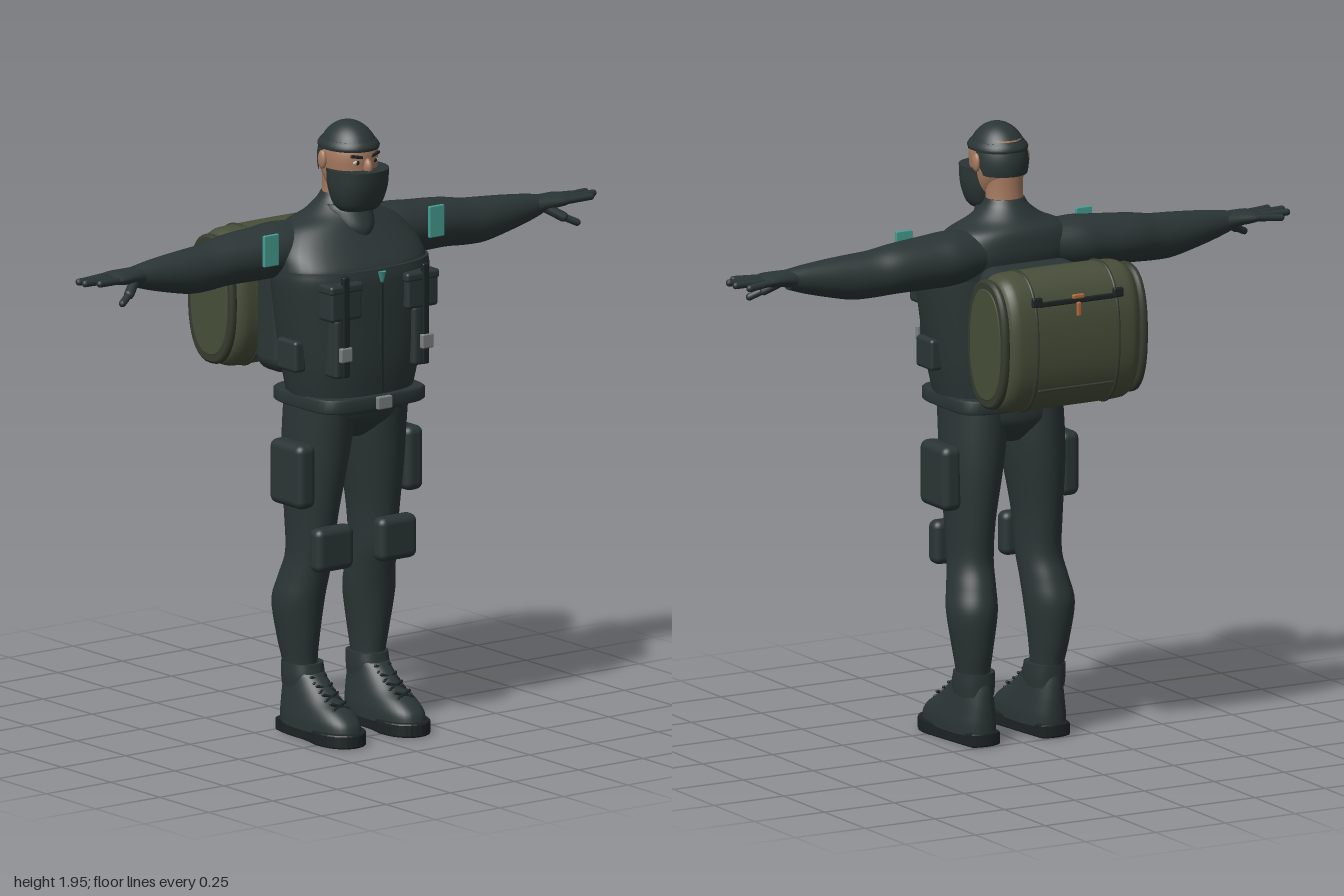
import * as THREE from 'three';
import { RoundedBoxGeometry } from 'three/addons/geometries/RoundedBoxGeometry.js';

const colour = (name, hex) => Object.assign(new THREE.MeshStandardMaterial({ color: hex }), { name });

export function createModel() {
  const suit = colour('suit', 0x2b3535), trim = colour('blackTrim', 0x1c2323);
  const olive = colour('olive', 0x474e39), oliveDark = colour('darkOlive', 0x353c2f);
  const teal = colour('teal', 0x459f93), skin = colour('skin', 0xa67a60);
  const grey = colour('grey', 0x7b8081), orange = colour('orange', 0xb0683c), white = colour('eyeWhite', 0xc9c4bc);
  const model = new THREE.Group();
  model.name = 'figure';

  const add = (name, geo, mat, x = 0, y = 0, z = 0) => {
    const m = new THREE.Mesh(geo, mat);
    m.name = name;
    m.position.set(x, y, z);
    model.add(m);
    return m;
  };
  const box = (name, mat, w, h, d, x, y, z, r = 0.01) =>
    add(name, new RoundedBoxGeometry(w, h, d, 3, Math.min(r, w / 2.1, h / 2.1, d / 2.1)), mat, x, y, z);
  const ball = (name, mat, rx, ry, rz, x, y, z) =>
    add(name, new THREE.SphereGeometry(1, 20, 14).scale(rx, ry, rz), mat, x, y, z);
  // Rounded rod from a to b
  const rod = (name, mat, a, b, r) => {
    const p = new THREE.Vector3(...a), q = new THREE.Vector3(...b), d = q.clone().sub(p);
    const m = add(name, new THREE.CapsuleGeometry(r, d.length(), 4, 10), mat);
    m.position.copy(p).add(q).multiplyScalar(0.5);
    m.quaternion.setFromUnitVectors(new THREE.Vector3(0, 1, 0), d.normalize());
    return m;
  };

  // Smooth skin through superellipse sections [y, cx, cz, rx, rz, power], rising in y
  const loft = (rows, sub = 5, seg = 40) => {
    const c = new THREE.CatmullRomCurve3(rows.map(r => new THREE.Vector3(r[0], r[1], r[2])), false, 'catmullrom', 0.5);
    const s = new THREE.CatmullRomCurve3(rows.map(r => new THREE.Vector3(r[3], r[4], r[5] ?? 2)), false, 'catmullrom', 0.5);
    const n = (rows.length - 1) * sub, pos = [], idx = [];
    const ring = (t) => {
      const p = c.getPoint(t), q = s.getPoint(t);
      for (let j = 0; j < seg; j++) {
        const a = j / seg * Math.PI * 2, u = Math.cos(a), v = Math.sin(a), e = 2 / q.z;
        pos.push(p.y + q.x * Math.sign(u) * Math.abs(u) ** e, p.x, p.z + q.y * Math.sign(v) * Math.abs(v) ** e);
      }
      return p;
    };
    for (let i = 0; i <= n; i++) ring(i / n);
    for (let i = 0; i < n; i++) for (let j = 0; j < seg; j++) {
      const k = (j + 1) % seg, a = i * seg + j, b = i * seg + k;
      idx.push(a, a + seg, b, b, a + seg, b + seg);
    }
    for (const t of [0, 1]) {
      const o = pos.length / 3, p = ring(t);
      pos.push(p.y, p.x, p.z);
      for (let j = 0; j < seg; j++) {
        const k = o + (j + 1) % seg;
        t ? idx.push(o + seg, k, o + j) : idx.push(o + seg, o + j, k);
      }
    }
    const g = new THREE.BufferGeometry();
    g.setAttribute('position', new THREE.Float32BufferAttribute(pos, 3));
    g.setIndex(idx);
    g.computeVertexNormals();
    return g;
  };
  // Same, running sideways: rows [x, y, z, ry, rz, power]; s = -1 runs to the right
  const sideLoft = (rows, s = 1, sub = 5) =>
    loft(rows.map(([x, y, ...r]) => [x, -s * y, ...r]), sub).rotateZ(-s * Math.PI / 2);

  // Torso
  add('vest', loft([[1.04, 0, 0.155, 0.185, 0.14, 2.4], [1.08, 0, 0.157, 0.2, 0.152, 2.4], [1.2, 0, 0.16, 0.225, 0.163, 2.5],
    [1.35, 0, 0.16, 0.25, 0.166, 2.5], [1.46, 0, 0.16, 0.266, 0.166, 2.5], [1.503, 0, 0.157, 0.265, 0.163, 2.5]]), suit);
  add('yoke', loft([[1.48, 0, 0.152, 0.262, 0.16, 2.5], [1.51, 0, 0.147, 0.262, 0.158, 2.5], [1.56, 0, 0.125, 0.25, 0.145, 2.4],
    [1.62, 0, 0.107, 0.2, 0.12, 2.2], [1.655, 0, 0.11, 0.125, 0.095], [1.69, 0, 0.11, 0.078, 0.07], [1.715, 0, 0.11, 0.062, 0.055]]), suit);
  add('collar', loft([[1.59, 0, 0.16, 0.05, 0.085], [1.62, 0, 0.15, 0.075, 0.095], [1.665, 0, 0.135, 0.082, 0.088], [1.685, 0, 0.13, 0.076, 0.08]]), suit);
  add('hips', loft([[0.95, 0, 0.13, 0.05, 0.08], [0.98, 0, 0.135, 0.12, 0.11], [1.02, 0, 0.14, 0.185, 0.138, 2.3], [1.07, 0, 0.145, 0.198, 0.145, 2.4]]), suit);
  add('belt', loft([[1.058, 0, 0.157, 0.2, 0.166, 5], [1.064, 0, 0.157, 0.206, 0.172, 5], [1.096, 0, 0.157, 0.206, 0.172, 5], [1.102, 0, 0.157, 0.2, 0.166, 5]], 1), suit);
  box('beltBuckle', grey, 0.055, 0.04, 0.018, 0, 1.08, 0.335, 0.004);
  box('zipper', trim, 0.008, 0.36, 0.008, 0, 1.29, 0.324, 0.002);
  add('zipperPull', new THREE.CylinderGeometry(0.016, 0.006, 0.034, 4), teal, 0, 1.478, 0.325);

  // Neck, face and headwear
  add('neck', loft([[1.66, 0, 0.11, 0.062, 0.055], [1.74, 0, 0.115, 0.06, 0.055], [1.82, 0, 0.12, 0.064, 0.06]]), skin);
  add('face', loft([[1.69, 0, 0.19, 0.04, 0.045], [1.73, 0, 0.175, 0.068, 0.075], [1.79, 0, 0.155, 0.08, 0.094, 2.2],
    [1.85, 0, 0.152, 0.084, 0.098, 2.2], [1.9, 0, 0.152, 0.07, 0.085]]), skin);
  add('faceMask', loft([[1.673, 0, 0.2, 0.062, 0.05, 2.3], [1.695, 0, 0.2, 0.08, 0.066, 2.3], [1.745, 0, 0.2, 0.094, 0.085, 2.2],
    [1.803, 0, 0.2, 0.097, 0.095, 2.1]]), suit);
  // Cap: rim high over the brow, low at the nape
  const cap = new THREE.SphereGeometry(1, 40, 18, 0, Math.PI * 2, 0, 1);
  const cp = cap.attributes.position;
  for (let i = 0; i < cp.count; i++) {
    const v = Math.acos(Math.min(1, cp.getY(i))), a = Math.atan2(cp.getZ(i), cp.getX(i));
    const th = v * (1.17 + 0.7 * THREE.MathUtils.smoothstep(-Math.sin(a), 0.05, 0.5));
    cp.setXYZ(i, 0.092 * Math.sin(th) * Math.cos(a), 0.122 * Math.cos(th), 0.109 * Math.sin(th) * Math.sin(a));
  }
  cap.computeVertexNormals();
  const capMat = suit;
  add('cap', cap, capMat, 0, 1.824, 0.154);
  add('capRim', loft([[1.862, 0, 0.154, 0.087, 0.102, 2.1], [1.874, 0, 0.154, 0.089, 0.105, 2.1], [1.89, 0, 0.154, 0.079, 0.094]], 2), suit);
  ball('nose', skin, 0.014, 0.028, 0.02, 0, 1.812, 0.25);

  // Drum backpack, running sideways
  box('packPad', suit, 0.33, 0.41, 0.15, 0, 1.328, -0.055, 0.05);
  const py = 1.34, pz = -0.217;
  add('packDrum', sideLoft([[-0.238, py, pz, 0.185, 0.095, 2.4], [-0.215, py, pz, 0.212, 0.12, 2.4], [-0.15, py, pz, 0.22, 0.127, 2.4],
    [0.15, py, pz, 0.22, 0.127, 2.4], [0.215, py, pz, 0.212, 0.12, 2.4], [0.238, py, pz, 0.185, 0.095, 2.4]], 1, 4), olive);
  const band = (name, mat, x, w, ry, rz) => add(name, sideLoft([[x - w / 2, py, pz, ry - 0.008, rz - 0.008, 2.4],
    [x - w / 4, py, pz, ry, rz, 2.4], [x + w / 4, py, pz, ry, rz, 2.4], [x + w / 2, py, pz, ry - 0.008, rz - 0.008, 2.4]], 1, 2), mat);
  box('packZip', trim, 0.27, 0.016, 0.012, 0, 1.475, -0.333, 0.004);
  box('packTag', orange, 0.04, 0.014, 0.014, 0, 1.49, -0.342, 0.004);
  box('packTagDrop', orange, 0.014, 0.045, 0.012, 0, 1.45, -0.346, 0.004);
  box('packLowerSeam', oliveDark, 0.27, 0.006, 0.01, 0, 1.2, -0.329, 0.002);

  for (const s of [-1, 1]) {
    // Eyes, brows and ears
    ball('eye', white, 0.015, 0.007, 0.005, s * 0.035, 1.829, 0.242);
    ball('pupil', trim, 0.007, 0.007, 0.004, s * 0.034, 1.829, 0.245);
    const brow = box('brow', trim, 0.042, 0.01, 0.01, s * 0.036, 1.848, 0.243, 0.004);
    brow.rotation.set(0, s * 0.25, s * 0.18);
    ball('ear', skin, 0.011, 0.03, 0.018, s * 0.088, 1.828, 0.135);

    // Arm and gloved hand
    add('arm', sideLoft([[0.12, 1.555, 0.08, 0.075, 0.085], [0.22, 1.552, 0.075, 0.085, 0.097], [0.3, 1.548, 0.075, 0.083, 0.092],
      [0.42, 1.543, 0.072, 0.078, 0.082], [0.5, 1.534, 0.078, 0.074, 0.07], [0.57, 1.532, 0.082, 0.071, 0.064],
      [0.65, 1.537, 0.085, 0.06, 0.054], [0.73, 1.543, 0.088, 0.046, 0.042], [0.79, 1.548, 0.09, 0.032, 0.032]], s), suit);
    add('palm', sideLoft([[0.765, 1.548, 0.09, 0.031, 0.036], [0.81, 1.553, 0.092, 0.025, 0.043], [0.86, 1.555, 0.092, 0.021, 0.052],
      [0.89, 1.555, 0.09, 0.014, 0.048]], s), suit);
    for (const [z0, z1, x1, y1] of [[0.052, 0.045, 0.95, 1.548], [0.078, 0.07, 0.985, 1.556], [0.104, 0.106, 0.988, 1.558], [0.129, 0.138, 0.955, 1.558]])
      rod('finger', suit, [s * 0.87, 1.555, z0], [s * x1, y1, z1], 0.0115);
    rod('thumbBase', suit, [s * 0.8, 1.54, 0.11], [s * 0.845, 1.51, 0.142], 0.016);
    rod('thumbTip', suit, [s * 0.845, 1.51, 0.142], [s * 0.885, 1.49, 0.16], 0.0115);
    box('armPatch', teal, 0.057, 0.1, 0.012, s * 0.322, 1.58, 0.179, 0.003);

    // Vest pouches, straps and clips
    box('pouch', suit, 0.122, 0.115, 0.075, s * 0.148, 1.418, 0.305, 0.012);
    box('pouchFlap', suit, 0.128, 0.03, 0.08, s * 0.148, 1.462, 0.305, 0.01);
    box('lowerPouch', suit, 0.06, 0.19, 0.075, s * 0.152, 1.27, 0.292, 0.012);
    box('pouchStrap', trim, 0.024, 0.32, 0.018, s * 0.155, 1.342, 0.34, 0.005);
    box('pouchClip', grey, 0.044, 0.046, 0.018, s * 0.158, 1.255, 0.346, 0.005);
    box('sidePouch', suit, 0.045, 0.1, 0.1, s * 0.235, 1.235, 0.17, 0.012);

    // Leg, thigh pad and knee pad
    add('leg', loft([[0.15, s * 0.13, 0.08, 0.05, 0.06], [0.22, s * 0.132, 0.079, 0.05, 0.061], [0.3, s * 0.136, 0.075, 0.06, 0.075],
      [0.42, s * 0.138, 0.076, 0.077, 0.09], [0.5, s * 0.13, 0.094, 0.073, 0.088], [0.58, s * 0.122, 0.115, 0.069, 0.086],
      [0.7, s * 0.12, 0.12, 0.073, 0.1], [0.85, s * 0.112, 0.125, 0.089, 0.119], [0.95, s * 0.105, 0.13, 0.097, 0.128],
      [1.06, s * 0.1, 0.14, 0.098, 0.138]]), suit);
    box('thighPad', suit, 0.07, 0.205, 0.165, s * 0.21, 0.848, 0.143, 0.025);
    box('kneePad', suit, 0.145, 0.14, 0.06, s * 0.123, 0.613, 0.228, 0.024);

    // Boot, sole and laces
    add('boot', loft([[0.035, s * 0.125, 0.178, 0.074, 0.172, 2.5], [0.07, s * 0.125, 0.172, 0.073, 0.167, 2.5], [0.1, s * 0.125, 0.155, 0.068, 0.15, 2.4],
      [0.13, s * 0.125, 0.128, 0.063, 0.122, 2.2], [0.17, s * 0.125, 0.105, 0.057, 0.095], [0.2, s * 0.125, 0.092, 0.056, 0.074]]), suit);
    add('bootCuff', loft([[0.155, s * 0.126, 0.088, 0.058, 0.07, 2.4], [0.19, s * 0.126, 0.086, 0.061, 0.07, 2.4], [0.228, s * 0.126, 0.082, 0.06, 0.066, 2.4]]), suit);
    const foot = new THREE.Shape();
    foot.moveTo(-0.045, -0.01);
    foot.bezierCurveTo(-0.07, -0.12, -0.045, -0.14, -0.072, -0.24);
    foot.bezierCurveTo(-0.08, -0.39, 0.08, -0.39, 0.072, -0.24);
    foot.bezierCurveTo(0.06, -0.14, 0.06, -0.12, 0.045, -0.01);
    foot.quadraticCurveTo(0, 0.01, -0.045, -0.01);
    const sole = new THREE.ExtrudeGeometry(foot, { depth: 0.033, bevelThickness: 0.006, bevelSize: 0.006, bevelSegments: 2, curveSegments: 14 });
    add('sole', sole.rotateX(-Math.PI / 2), trim, s * 0.125, 0.006, 0.006);
    for (const [y, z] of [[0.118, 0.278], [0.14, 0.238], [0.162, 0.208], [0.184, 0.178]])
      for (const d of [-1, 1])
        rod('lace', trim, [s * 0.125 - d * 0.028, y - 0.009, z], [s * 0.125 + d * 0.028, y + 0.009, z - 0.014], 0.005);

    // Pack rims, end discs and straps
    band('packRim', oliveDark, s * 0.247, 0.026, 0.204, 0.115);
    const face = [0.256, 0.262].map((x, i) => [x, py, pz, 0.182 - i * 0.008, 0.1 - i * 0.008, 2.3]);
    add('packEnd', sideLoft(face, s, 1), olive);
    band('packStrap', oliveDark, s * 0.145, 0.014, 0.224, 0.131);
    box('packBuckle', trim, 0.034, 0.03, 0.016, s * 0.145, 1.485, -0.338, 0.005);
  }
  return model;
}
